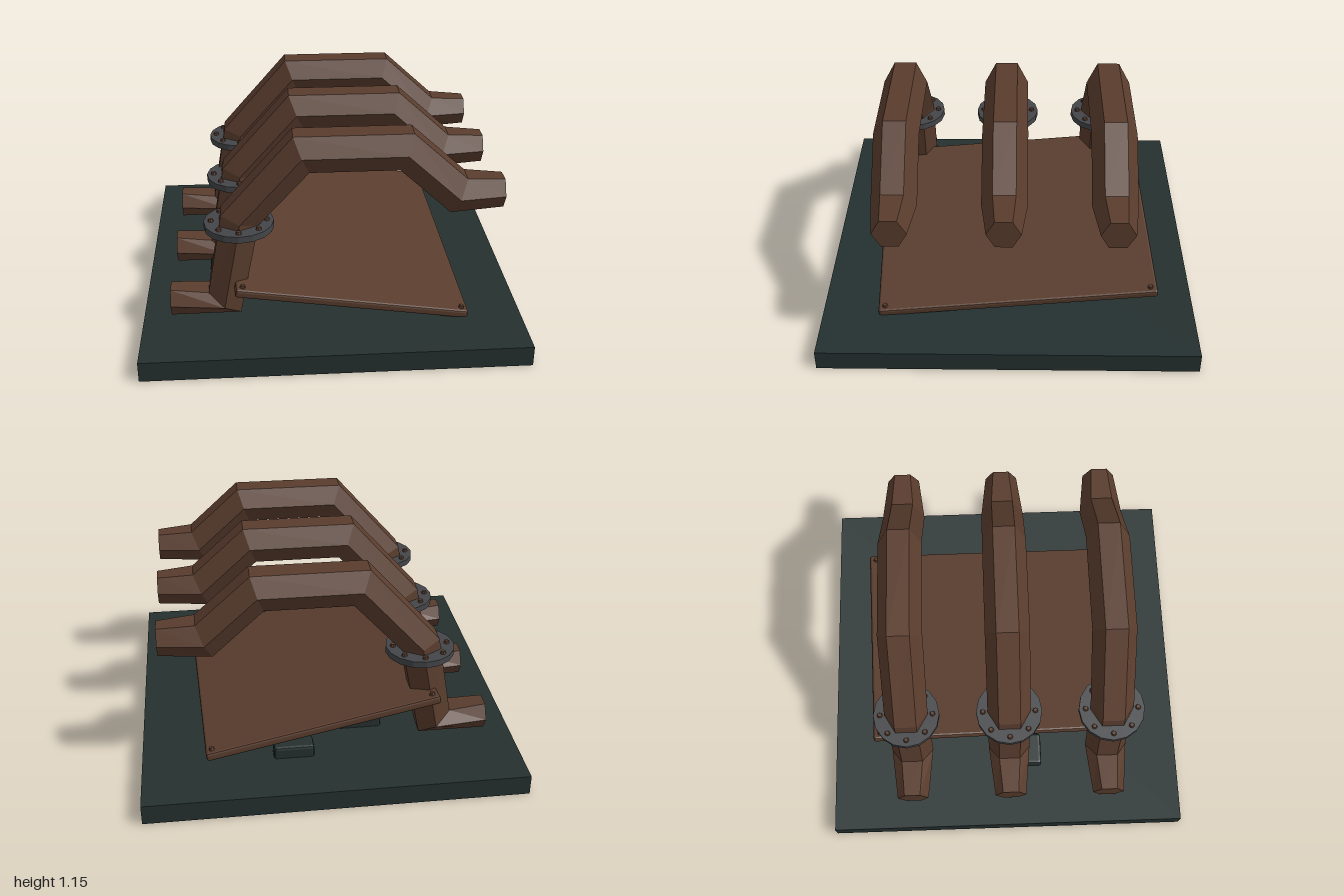
import * as THREE from 'three';
import { RoundedBoxGeometry } from 'three/addons/geometries/RoundedBoxGeometry.js';

const material = (name, color, extra = {}) => {
  const m = new THREE.MeshStandardMaterial({ color, flatShading: true, ...extra });
  m.name = name;
  return m;
};

// Hexagonal tube: each ring is [topX, topY, bottomX, bottomY, radius]
function hexPipe(rings) {
  const pos = [], idx = [];
  for (const [tx, ty, bx, by, r] of rings) {
    const mx = (tx + bx) / 2, my = (ty + by) / 2;
    pos.push(tx, ty, r / 2, mx, my, r, bx, by, r / 2);
    pos.push(bx, by, -r / 2, mx, my, -r, tx, ty, -r / 2);
  }
  for (let i = 0; i < rings.length - 1; i++) {
    for (let j = 0; j < 6; j++) {
      const k = (j + 1) % 6, a = i * 6, b = a + 6;
      idx.push(a + j, a + k, b + k, a + j, b + k, b + j);
    }
  }
  const e = (rings.length - 1) * 6;
  for (let j = 1; j < 5; j++) {
    idx.push(0, j + 1, j);
    idx.push(e, e + j, e + j + 1);
  }
  const g = new THREE.BufferGeometry();
  g.setAttribute('position', new THREE.Float32BufferAttribute(pos, 3));
  g.setIndex(idx);
  const flat = g.toNonIndexed();
  flat.computeVertexNormals();
  return flat;
}

export function createModel() {
  const model = new THREE.Group();
  const rust = material('rust brown', 0x593c2d);
  const ground = material('dark slate', 0x24302f);
  const steel = material('dark steel', 0x434548);

  const add = (parent, name, geometry, mat, x = 0, y = 0, z = 0) => {
    const mesh = new THREE.Mesh(geometry, mat);
    mesh.name = name;
    mesh.position.set(x, y, z);
    parent.add(mesh);
    return mesh;
  };

  add(model, 'base', new THREE.BoxGeometry(2, 0.11, 2), ground, 0, 0.055, 0);

  // Rubble blocks: centre x, centre z, width, depth
  const blocks = [
    [-0.57, 0.12, 0.18, 0.17],
    [-0.185, -0.38, 0.235, 0.16],
    [0.2, -0.64, 0.215, 0.105],
    [0.43, 0.0, 0.22, 0.15],
  ];
  for (const [x, z, w, d] of blocks) {
    add(model, 'rubbleBlock', new RoundedBoxGeometry(w, 0.085, d, 1, 0.015), ground, x, 0.133, z);
  }

  // Bent pipes, each with a bolted flange
  const pipeGeometry = hexPipe([
    [-0.85, 0.295, -0.85, 0.145, 0.088],
    [-0.65, 0.28, -0.485, 0.157, 0.118],
    [-0.57, 0.73, -0.38, 0.67, 0.118],
    [-0.2, 1.15, -0.12, 0.955, 0.118],
    [0.4, 1.15, 0.335, 0.955, 0.118],
    [0.68, 0.895, 0.6, 0.71, 0.118],
    [0.875, 0.88, 0.875, 0.725, 0.088],
  ]);
  const flangeGeometry = new THREE.CylinderGeometry(0.18, 0.18, 0.035, 16);
  const boltGeometry = new THREE.CylinderGeometry(0.011, 0.016, 0.016, 8);
  for (const z of [0.58, 0.02, -0.54]) {
    const assembly = new THREE.Group();
    assembly.name = 'pipeAssembly';
    assembly.position.z = z;
    add(assembly, 'bentPipe', pipeGeometry, rust);
    add(assembly, 'flange', flangeGeometry, steel, -0.48, 0.653, 0);
    for (let i = 0; i < 8; i++) {
      const a = (i * Math.PI) / 4;
      add(assembly, 'flangeBolt', boltGeometry, rust,
        -0.48 + 0.143 * Math.cos(a), 0.677, 0.143 * Math.sin(a));
    }
    model.add(assembly);
  }

  // Fallen sheet, tilted with its own axes
  const sheet = new THREE.Group();
  sheet.name = 'fallenSheet';
  const xAxis = new THREE.Vector3(1.22, -0.22, -0.06).normalize();
  const yAxis = new THREE.Vector3(0.06, -0.11, 1.495).cross(xAxis).normalize();
  const zAxis = new THREE.Vector3().crossVectors(xAxis, yAxis);
  sheet.quaternion.setFromRotationMatrix(new THREE.Matrix4().makeBasis(xAxis, yAxis, zAxis));
  sheet.position.set(0.08, 0.305, -0.02).addScaledVector(yAxis, -0.0225);
  add(sheet, 'sheetPanel', new RoundedBoxGeometry(1.245, 0.045, 1.505, 1, 0.012), rust);
  for (const sx of [-1, 1]) {
    for (const sz of [-1, 1]) {
      add(sheet, 'sheetBolt', boltGeometry, rust, sx * 0.587, 0.029, sz * 0.715);
    }
  }
  model.add(sheet);

  return model;
}
